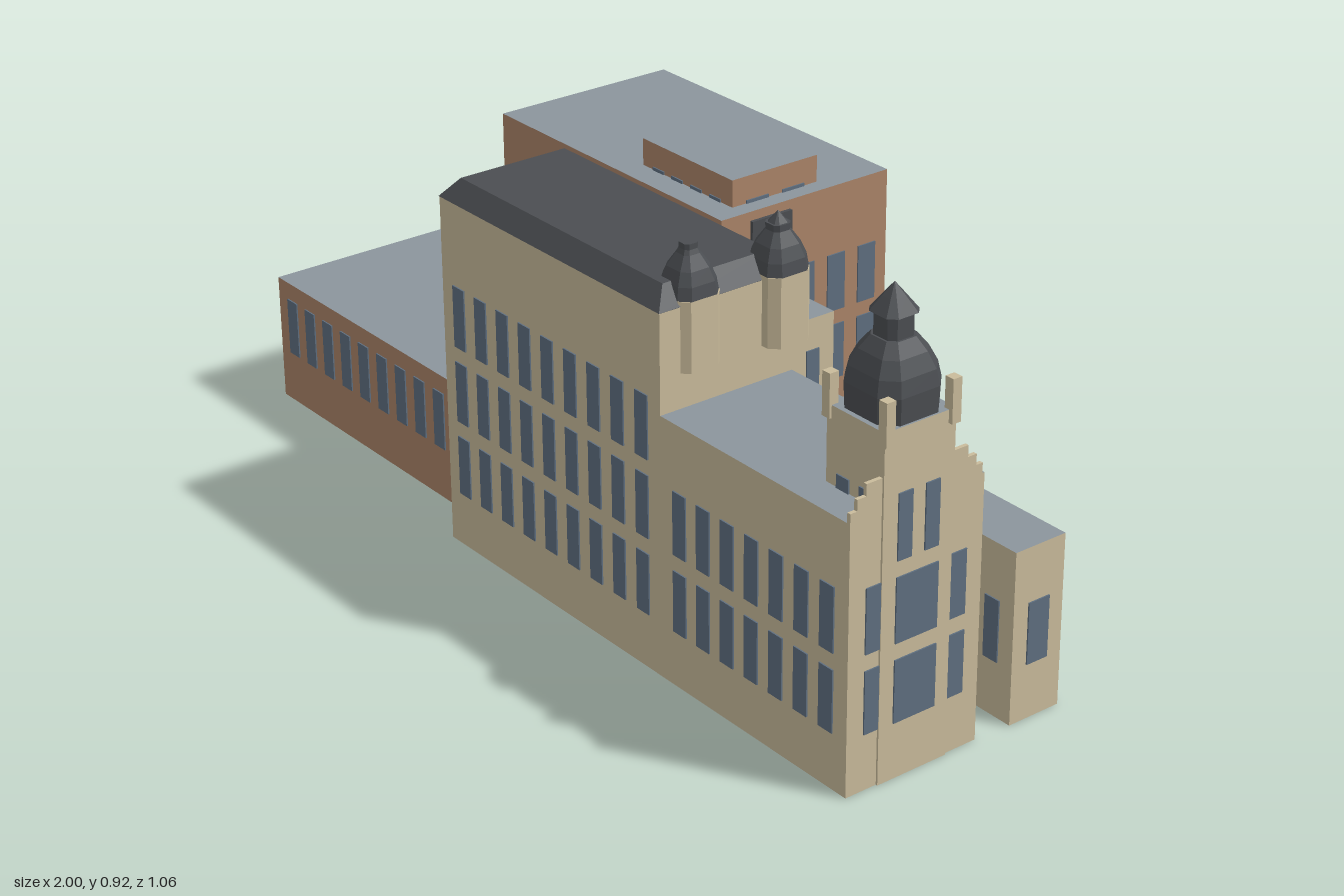
import * as THREE from 'three';
import { mergeGeometries } from 'three/addons/utils/BufferGeometryUtils.js';

function material(name, color) {
  const m = new THREE.MeshStandardMaterial({ color, side: THREE.DoubleSide });
  m.name = name;
  return m;
}

// y ranges of the window storeys
const STOREYS = [[0.115, 0.242], [0.275, 0.405], [0.437, 0.567]];

export function createModel() {
  const model = new THREE.Group();
  const stone = material('stone', 0xc9bb9b);
  const brick = material('brick', 0xab8468);
  const flatRoof = material('flatRoof', 0x8b959d);
  const slate = material('slate', 0x4b4e52);
  const glass = material('glass', 0x5f6f80);

  function add(name, geometry, mat, parent = model) {
    const mesh = new THREE.Mesh(geometry, mat);
    mesh.name = name;
    parent.add(mesh);
    return mesh;
  }

  function boxGeometry(x0, x1, y0, y1, z0, z1) {
    return new THREE.BoxGeometry(x1 - x0, y1 - y0, z1 - z0)
      .translate((x0 + x1) / 2, (y0 + y1) / 2, (z0 + z1) / 2);
  }

  // A thin pane for each window, on the chosen faces of a block
  function windows(b, rows) {
    const panes = [];
    const t = 0.003;
    for (const { face, storeys, n, w = 0.037, margin = 0.055 } of rows) {
      const alongX = face === 'front' || face === 'back';
      const a = (alongX ? b.x[0] : b.z[0]) + margin;
      const len = (alongX ? b.x[1] : b.z[1]) - margin - a;
      const count = n || Math.round(len / 0.07) + 1;
      for (const s of storeys) {
        const [y0, y1] = STOREYS[s];
        for (let i = 0; i < count; i++) {
          const c = count === 1 ? a + len / 2 : a + len * i / (count - 1);
          if (alongX) {
            const z = face === 'front' ? b.z[1] : b.z[0];
            panes.push(boxGeometry(c - w / 2, c + w / 2, y0, y1, z - t, z + t));
          } else {
            const x = face === 'left' ? b.x[1] : b.x[0];
            panes.push(boxGeometry(x - t, x + t, y0, y1, c - w / 2, c + w / 2));
          }
        }
      }
    }
    return mergeGeometries(panes);
  }

  // Bottomless block with coloured walls and a flat roof
  function block(b) {
    const group = new THREE.Group();
    group.name = b.name;
    const g = boxGeometry(b.x[0], b.x[1], 0, b.h, b.z[0], b.z[1]);
    const index = Array.from(g.index.array);
    index.splice(18, 6);
    g.setIndex(index);
    g.clearGroups();
    g.addGroup(0, 12, 0);
    g.addGroup(12, 6, 1);
    g.addGroup(18, 12, 0);
    add(b.name + 'Walls', g, [b.wall, b.roof || flatRoof], group);
    if (b.rows) add(b.name + 'Windows', windows(b, b.rows), glass, group);
    model.add(group);
  }

  // Faceted solid through rings [y, half x, half z, corner cut]
  function loft(rings, cx, cz) {
    const pos = [];
    const index = [];
    for (const [y, a, b, c] of rings) {
      const corners = [[a, b - c], [a - c, b], [c - a, b], [-a, b - c],
        [-a, c - b], [c - a, -b], [a - c, -b], [a, c - b]];
      for (const [x, z] of corners) pos.push(cx + x, y, cz + z);
    }
    for (let r = 0; r < rings.length - 1; r++) {
      for (let i = 0; i < 8; i++) {
        const p = r * 8 + i, q = r * 8 + (i + 1) % 8;
        index.push(p, p + 8, q, q, p + 8, q + 8);
      }
    }
    const g = new THREE.BufferGeometry();
    g.setAttribute('position', new THREE.Float32BufferAttribute(pos, 3));
    g.setIndex(index);
    const flat = g.toNonIndexed();
    flat.computeVertexNormals();
    return flat;
  }
  const squareLoft = (profile, cx, cz, cut) =>
    loft(profile.map(([y, r]) => [y, r, r, r * cut]), cx, cz);

  const blocks = [
    { name: 'brickRearHall', x: [-0.9, -0.13], z: [-0.53, -0.085], h: 0.56, wall: brick, rows: [
      { face: 'front', storeys: [0, 1] }, { face: 'back', storeys: [0, 1] },
      { face: 'left', storeys: [0, 1], n: 5, w: 0.047 }, { face: 'right', storeys: [0, 1], n: 5, w: 0.047 }] },
    { name: 'brickPenthouse', x: [-0.47, -0.17], z: [-0.37, -0.145], h: 0.62, wall: brick, rows: [
      { face: 'front', storeys: [2] }, { face: 'back', storeys: [2] },
      { face: 'left', storeys: [2], n: 2, w: 0.058, margin: 0.065 },
      { face: 'right', storeys: [2], n: 2, w: 0.058, margin: 0.065 }] },
    { name: 'brickLowWing', x: [-1, -0.19], z: [-0.065, 0.445], h: 0.28, wall: brick, rows: [
      { face: 'front', storeys: [0] }, { face: 'back', storeys: [0] },
      { face: 'right', storeys: [0], n: 6, w: 0.047 }] },
    { name: 'mainHall', x: [-0.23, 0.46], z: [0.22, 0.525], h: 0.74, wall: stone, roof: slate, rows: [
      { face: 'front', storeys: [0, 1, 2] }, { face: 'back', storeys: [0, 1, 2] }] },
    { name: 'eastWing', x: [0.46, 0.98], z: [0.22, 0.525], h: 0.54, wall: stone, rows: [
      { face: 'front', storeys: [0, 1] }, { face: 'back', storeys: [0, 1] },
      { face: 'left', storeys: [0, 1], n: 2, w: 0.053, margin: 0.064 }] },
    { name: 'rearHall', x: [-0.05, 0.46], z: [0.12, 0.222], h: 0.63, wall: stone, rows: [
      { face: 'back', storeys: [0, 1, 2] }, { face: 'left', storeys: [1, 2], n: 1, w: 0.03 }] },
    { name: 'rearLowBlock', x: [-0.05, 0.62], z: [-0.105, 0.14], h: 0.255, wall: stone },
    { name: 'linkBlock', x: [0.46, 0.62], z: [0.14, 0.22], h: 0.355, wall: stone, rows: [
      { face: 'left', storeys: [0], n: 1, w: 0.012 }] },
    { name: 'annex', x: [0.62, 0.985], z: [0.02, 0.14], h: 0.355, wall: stone, rows: [
      { face: 'front', storeys: [0] }, { face: 'back', storeys: [0] },
      { face: 'left', storeys: [0], n: 1, w: 0.05 }] },
    { name: 'tower', x: [0.835, 0.984], z: [0.295, 0.455], h: 0.69, wall: stone, rows: [
      { face: 'front', storeys: [2], n: 2, w: 0.032, margin: 0.045 },
      { face: 'back', storeys: [2], n: 2, w: 0.032, margin: 0.045 },
      { face: 'left', storeys: [2], n: 2, w: 0.032, margin: 0.049 },
      { face: 'right', storeys: [2], n: 2, w: 0.032, margin: 0.049 }] },
  ];
  blocks.forEach(block);

  // Wide centre windows at the foot of the tower
  for (const [y0, y1] of STOREYS.slice(0, 2))
    add('towerWideWindow', boxGeometry(0.981, 0.987, y0, y1, 0.327, 0.423), glass);

  // Dark stair panel on the brick hall
  add('stairPanel', boxGeometry(-0.131, -0.122, 0.15, 0.54, -0.265, -0.16), slate);

  // Hipped slate roof
  add('mainRoof', loft([[0.741, 0.346, 0.154, 0], [0.78, 0.315, 0.122, 0], [0.78, 0, 0, 0]],
    0.115, 0.3725), slate);

  // Stepped parapets either side of the tower
  for (const s of [-1, 1]) {
    [[0.15, 0.56], [0.135, 0.582], [0.115, 0.605]].forEach(([d, top], i, steps) => {
      const inner = i < 2 ? steps[i + 1][0] : 0.08;
      const za = 0.375 + s * d, zb = 0.375 + s * inner;
      add('parapetStep', boxGeometry(0.972, 0.98, 0.54, top, Math.min(za, zb), Math.max(za, zb)), stone);
    });
  }

  // Tower dome, lantern and corner pinnacles
  add('towerDome', squareLoft([[0.69, 0], [0.69, 0.07], [0.74, 0.072], [0.77, 0.066], [0.8, 0.052],
    [0.825, 0.034], [0.825, 0.03], [0.868, 0.03], [0.868, 0.037], [0.895, 0.018], [0.92, 0]],
  0.91, 0.375, 0.4), slate);
  for (const x of [0.837, 0.983])
    for (const z of [0.302, 0.45])
      add('towerPinnacle', boxGeometry(x - 0.01, x + 0.01, 0.665, 0.75, z - 0.01, z + 0.01), stone);

  // Pair of corner turrets on the main hall
  const turrets = [
    { x: 0.445, z: 0.243, r: 0.049, tip: [[0.838, 0.02], [0.838, 0.016], [0.86, 0]] },
    { x: 0.427, z: 0.434, r: 0.047, tip: [[0.834, 0.015], [0.845, 0.015], [0.845, 0]] },
  ];
  for (const { x, z, r, tip } of turrets) {
    add('turretBody', squareLoft([[0.61, 0], [0.61, r], [0.75, r], [0.75, 0]], x, z, 0.35), stone);
    add('turretDome', squareLoft([[0.75, r], [0.775, r * 0.92], [0.8, r * 0.72], [0.825, r * 0.4], ...tip],
      x, z, 0.4), slate);
  }

  return model;
}
